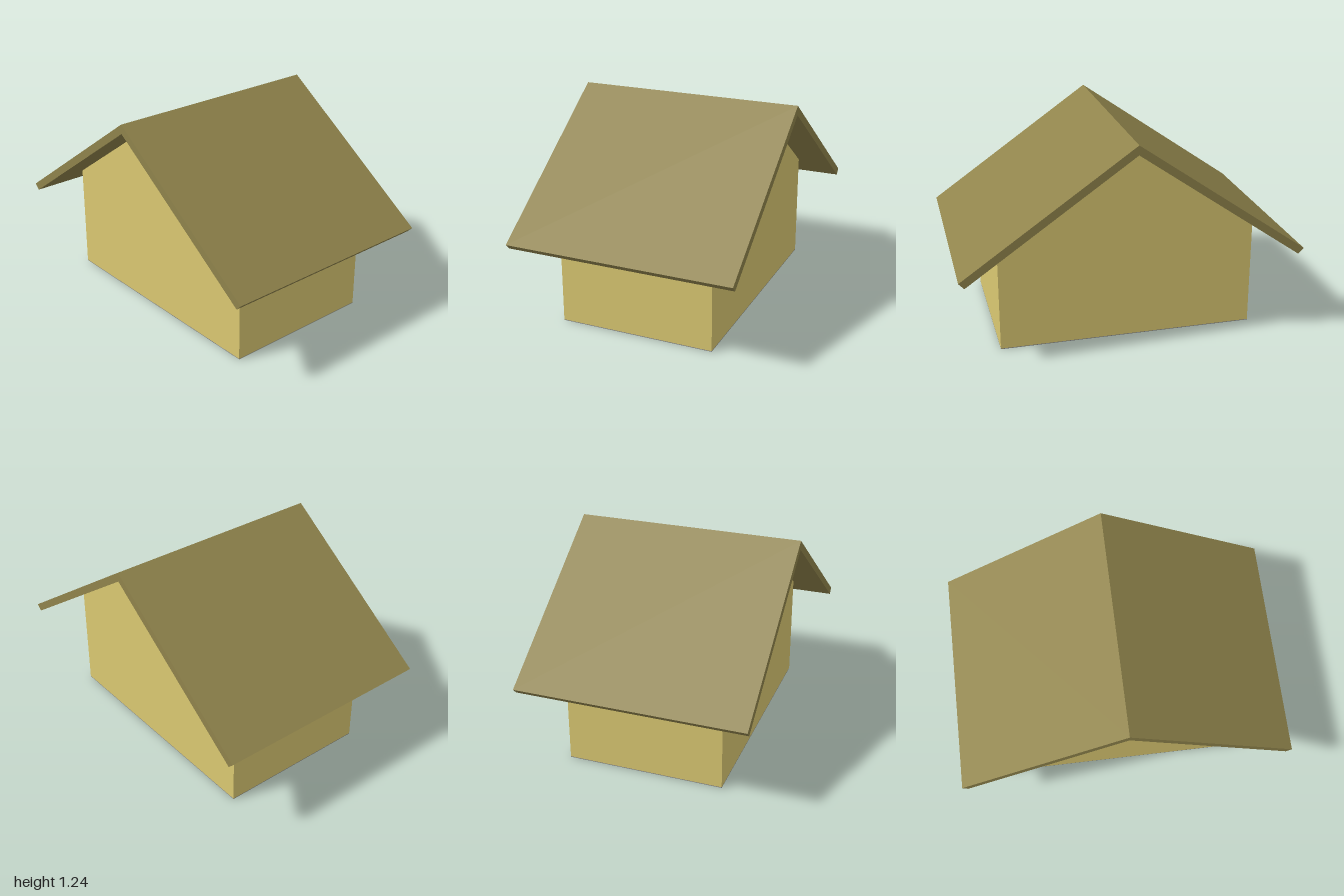
import * as THREE from 'three';

// Extrudes an outline of [x, y] points along z, centred on z = 0
function prism(name, points, depth, color) {
  const shape = new THREE.Shape(points.map(([x, y]) => new THREE.Vector2(x, y)));
  const geometry = new THREE.ExtrudeGeometry(shape, { depth, bevelEnabled: false });
  geometry.translate(0, 0, -depth / 2);
  const mesh = new THREE.Mesh(geometry, new THREE.MeshStandardMaterial({ color }));
  mesh.name = name;
  return mesh;
}

export function createModel() {
  const house = new THREE.Group();
  house.name = 'house';

  const slope = 0.7;
  const halfWidth = 0.76;
  const wallDepth = 0.94;
  const floorThickness = 0.004;
  const wallPeak = 1.187;
  const eave = wallPeak - slope * halfWidth;

  // Gabled walls
  house.add(prism('walls', [
    [-halfWidth, floorThickness], [halfWidth, floorThickness],
    [halfWidth, eave], [0, wallPeak], [-halfWidth, eave],
  ], wallDepth, 0xdbc972));

  // Overhanging roof with eaves cut square to the slope
  const roofPeak = 1.243;
  const tipX = 0.968;
  const tipY = wallPeak - slope * tipX;
  const edgeY = roofPeak - slope;
  house.add(prism('roof', [
    [0, roofPeak], [-1, edgeY], [-tipX, tipY],
    [0, wallPeak], [tipX, tipY], [1, edgeY],
  ], 1.36, 0x90844c));

  // Thin floor under the walls
  const floor = new THREE.Mesh(
    new THREE.BoxGeometry(halfWidth * 2, floorThickness, wallDepth),
    new THREE.MeshStandardMaterial({ color: 0x888888 }),
  );
  floor.name = 'floor';
  floor.position.y = floorThickness / 2;
  house.add(floor);

  return house;
}
